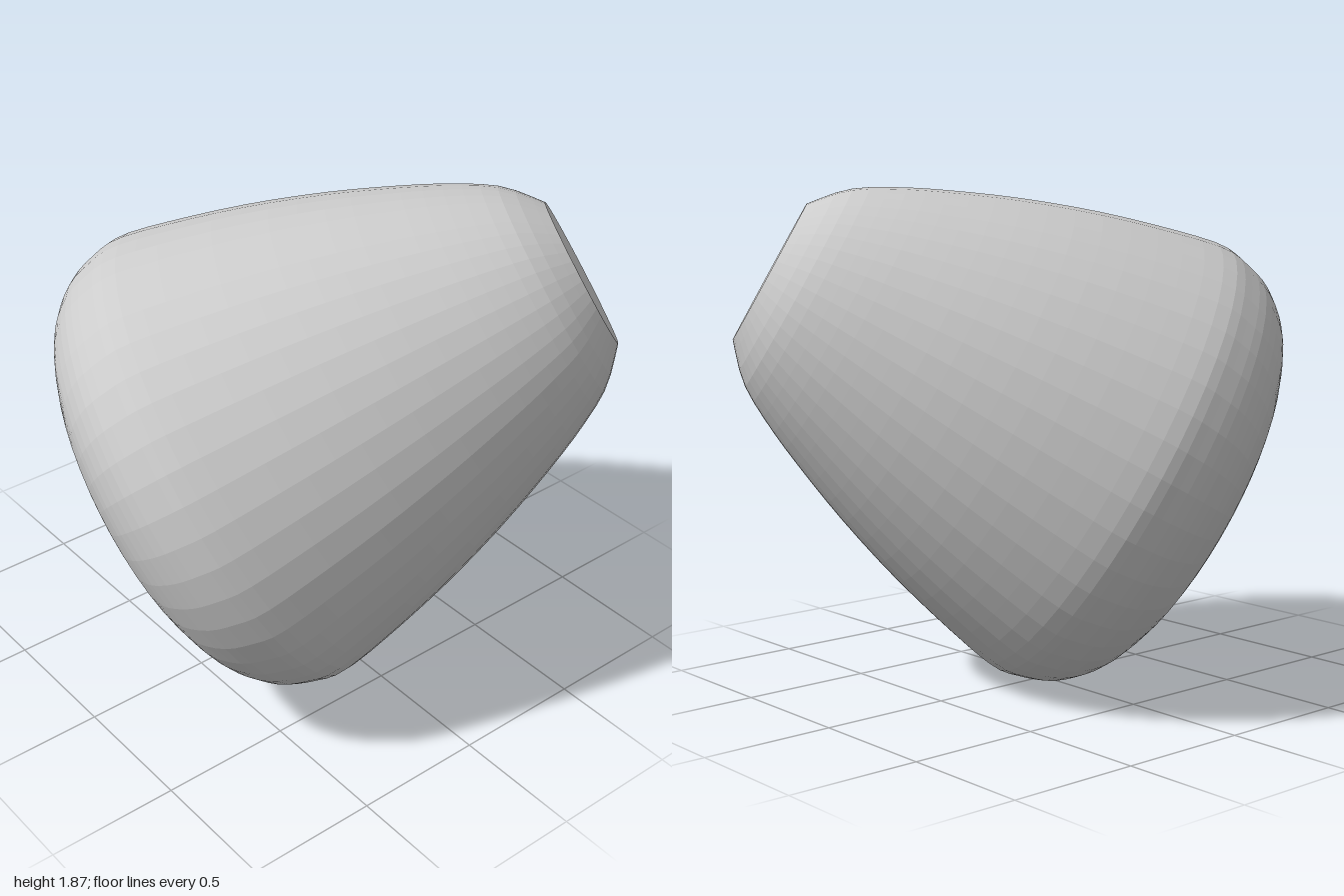
import * as THREE from 'three';

export function createModel() {
  const group = new THREE.Group();
  const material = new THREE.MeshStandardMaterial({ color: 0xcccccc, flatShading: true });

  // Profile as [radius, distance below the cut face], from the blunt end up
  const profile = [
    [0.41, 1.86], [0.6, 1.835], [0.72, 1.785], [0.8, 1.73], [0.87, 1.64], [0.903, 1.54],
    [0.915, 1.43], [0.868, 1.22], [0.79, 0.95], [0.695, 0.685], [0.595, 0.45],
    [0.505, 0.264], [0.41, 0.11], [0.287, 0],
  ].map(([r, t]) => new THREE.Vector2(r, -t));
  const curve = new THREE.SplineCurve(profile);

  // Rounded tapering body with a nearly flat blunt end
  const points = [new THREE.Vector2(0, -1.865), ...curve.getPoints(36)];
  const body = new THREE.Mesh(new THREE.LatheGeometry(points, 48), material);
  body.name = 'body';

  // Flat cut face at the narrow end
  const cut = new THREE.Mesh(new THREE.CircleGeometry(0.287, 48).rotateX(-Math.PI / 2), material);
  cut.name = 'cutFace';

  // Tilt the whole form so the narrow end points up, back and to the left
  const form = new THREE.Group();
  form.name = 'taperedForm';
  form.add(body, cut);
  const axis = new THREE.Vector3(0.49, 0.49, -0.72).normalize();
  form.quaternion.setFromUnitVectors(new THREE.Vector3(0, 1, 0), axis);
  form.position.set(0.63, 1.57, -0.795);
  group.add(form);
  return group;
}
